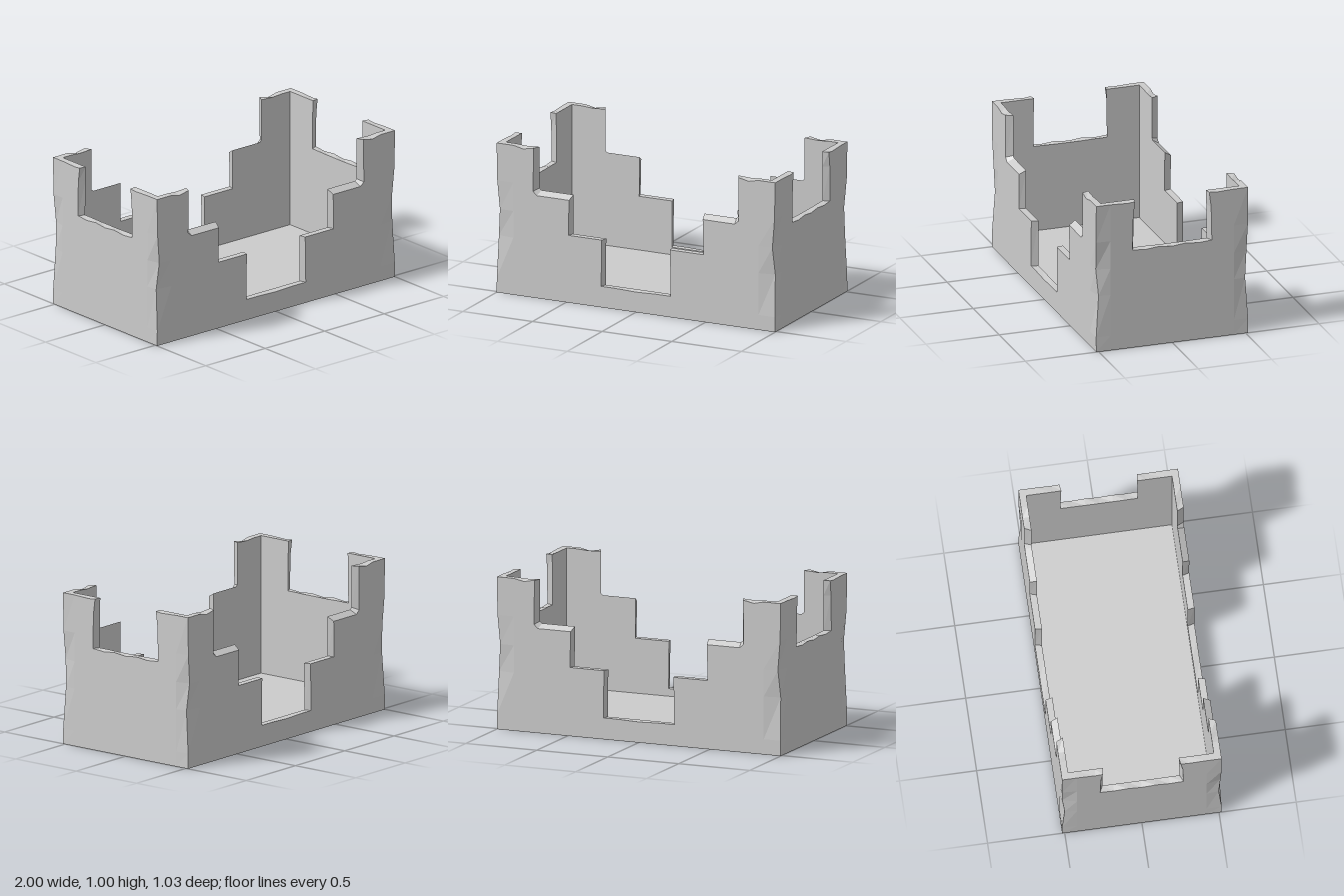
import * as THREE from 'three';

const HX = 1, HZ = 0.517, T = 0.045, FLOOR = 0.09;

// Chipped vertical corners: height, inset in x, inset in z
const CHIPS = [[0, 0, 0], [0.1, 0.002, 0], [0.38, 0.008, 0.018], [0.56, 0.022, 0.004], [0.75, 0.005, 0], [1, 0, 0]];

// Half outlines of the wall tops, from the middle outwards: outer u, outer y, inner u, inner y
const STEPPED = [
  [0, 0.135, 0, 0.14], [0.15, 0.14, 0.15, 0.14], [0.25, 0.14, 0.237, 0.14],
  [0.245, 0.45, 0.235, 0.45], [0.485, 0.45, 0.472, 0.45],
  [0.48, 0.685, 0.47, 0.712], [0.71, 0.685, 0.7, 0.712], [0.738, 0.71, 0.715, 0.725],
  [0.735, 1, 0.715, 1], [0.81, 0.985, 0.81, 0.995], [0.88, 1, 0.88, 1],
];
const NOTCHED = [
  [0, 0.662, 0, 0.668], [0.09, 0.672, 0.09, 0.668], [0.18, 0.663, 0.18, 0.67],
  [0.27, 0.67, 0.25, 0.67], [0.265, 0.9, 0.248, 0.9], [0.252, 1, 0.245, 1],
  [0.3, 0.995, 0.3, 1], [0.42, 1, 0.42, 1],
];

// One wall: a = half length, b = distance from the centre, chips = [y, inset along, inset in depth]
function makeWall(name, profile, a, b, chips, material) {
  const pos = [];
  const tri = (...pts) => pts.forEach((p) => pos.push(...p));
  const quad = (p, q, r, s) => { tri(p, q, r); tri(p, r, s); };

  // Full top outlines, running from +u to -u
  const mirrored = (iu, iy) => {
    const half = profile.map((p) => [p[iu], p[iy]]);
    return [...half.slice().reverse(), ...half.slice(1).map(([u, y]) => [-u, y])];
  };
  const outer = mirrored(0, 1), inner = mirrored(2, 3);
  const c = outer[0][0], ia = a - T;
  const innerFull = [[ia, 1], ...inner, [-ia, 1]];

  // Flat faces, outside and inside
  const face = (outline, half, d, flip) => {
    const pts = [[-half, 0], [half, 0], ...outline];
    const tris = THREE.ShapeUtils.triangulateShape(pts.map((p) => new THREE.Vector2(...p)), []);
    for (const t of tris) {
      const corners = t.map((i) => [...pts[i], d]);
      tri(...(flip ? corners.reverse() : corners));
    }
  };
  face(outer, c, b, false);
  face(innerFull, ia, b - T, true);

  // Rim joining both outlines
  const o = [[a, 1], ...outer, [-a, 1]].map((p) => [...p, b]);
  const n = innerFull.map((p) => [...p, b - T]);
  for (let i = 0; i < o.length - 1; i++) quad(o[i], n[i], n[i + 1], o[i + 1]);

  // Chipped strips running up to each corner
  for (let i = 0; i < chips.length - 1; i++) {
    const [y0, u0, d0] = chips[i], [y1, u1, d1] = chips[i + 1];
    quad([c, y0, b], [a - u0, y0, b - d0], [a - u1, y1, b - d1], [c, y1, b]);
    quad([-a + u0, y0, b - d0], [-c, y0, b], [-c, y1, b], [-a + u1, y1, b - d1]);
  }

  const geo = new THREE.BufferGeometry();
  geo.setAttribute('position', new THREE.Float32BufferAttribute(pos, 3));
  geo.computeVertexNormals();
  const mesh = new THREE.Mesh(geo, material);
  mesh.name = name;
  return mesh;
}

export function createModel() {
  const group = new THREE.Group();
  group.name = 'ruinedBuilding';
  const material = new THREE.MeshStandardMaterial({ color: 0xcccccc, flatShading: true });

  // Long stepped walls and short notched walls
  const sideChips = CHIPS.map(([y, dx, dz]) => [y, dz, dx]);
  const walls = [
    ['frontWall', STEPPED, HX, HZ, CHIPS],
    ['leftWall', NOTCHED, HZ, HX, sideChips],
    ['backWall', STEPPED, HX, HZ, CHIPS],
    ['rightWall', NOTCHED, HZ, HX, sideChips],
  ];
  walls.forEach((args, i) => {
    const wall = makeWall(...args, material);
    wall.rotation.y = (i * Math.PI) / 2;
    group.add(wall);
  });

  // Floor inside and underside
  const floor = new THREE.Mesh(new THREE.PlaneGeometry(2 * (HX - T), 2 * (HZ - T)), material);
  floor.name = 'floor';
  floor.rotation.x = -Math.PI / 2;
  floor.position.y = FLOOR;
  const underside = new THREE.Mesh(new THREE.PlaneGeometry(2 * HX, 2 * HZ), material);
  underside.name = 'underside';
  underside.rotation.x = Math.PI / 2;
  group.add(floor, underside);
  return group;
}
